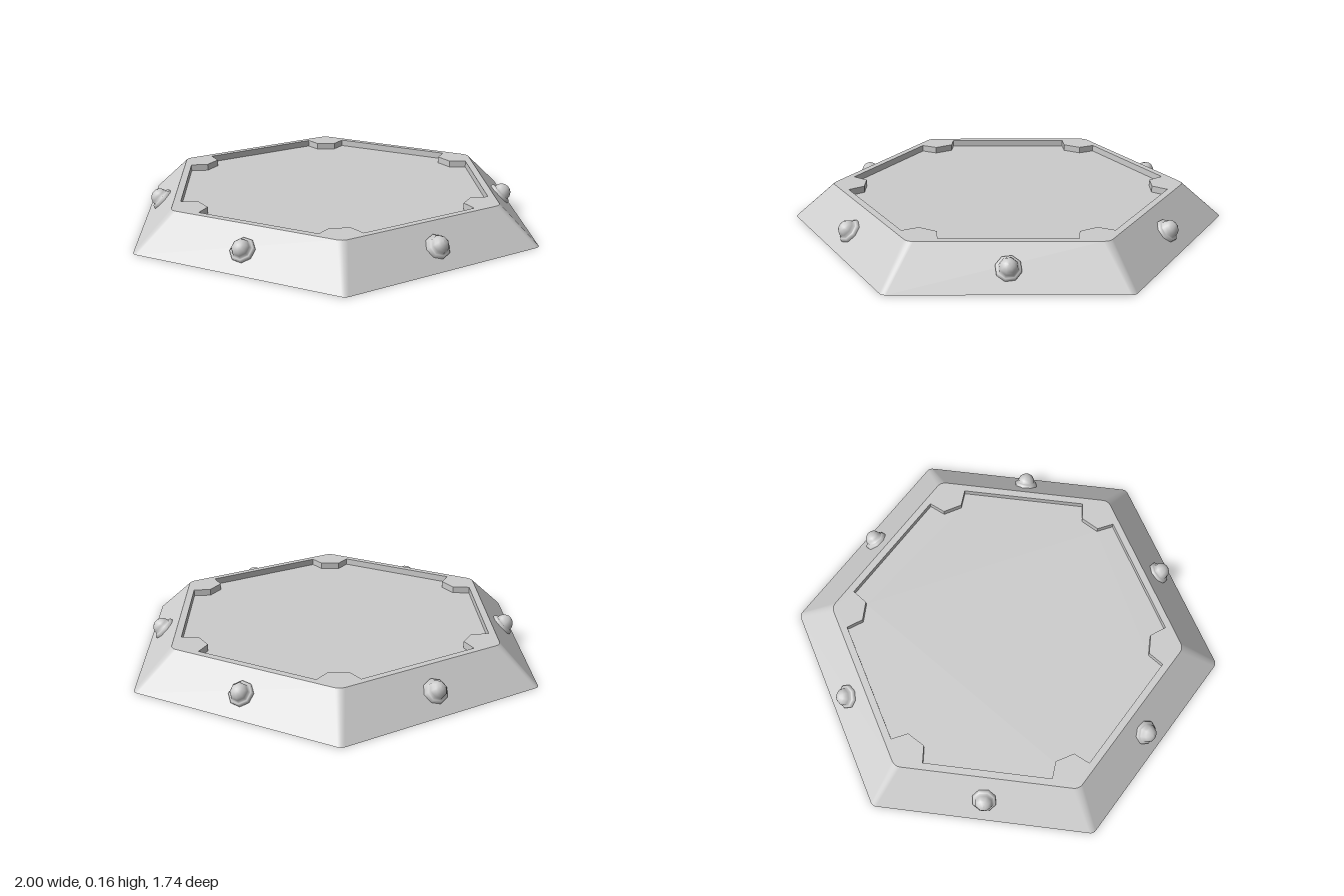
import * as THREE from 'three';

const HEIGHT = 0.163, DEPTH = 0.03;      // height of the tile, depth of the recess
const BASE_IN = 0.87, TOP_IN = 0.711;    // distance from the centre to the flat sides

const material = new THREE.MeshStandardMaterial({ color: 0xcccccc, side: THREE.DoubleSide });
const flatMaterial = new THREE.MeshStandardMaterial({
  color: 0xcccccc, side: THREE.DoubleSide, flatShading: true });

// Hexagon with rounded corners, counter-clockwise, pointing along x
function roundedHex(inradius, r, steps = 4) {
  const points = [];
  const centre = (inradius - r) * 2 / Math.sqrt(3);
  for (let k = 0; k < 6; k++) {
    const a = k * Math.PI / 3;
    for (let i = 0; i <= steps; i++) {
      const b = a + (i / steps - 0.5) * Math.PI / 3;
      points.push(new THREE.Vector2(
        centre * Math.cos(a) + r * Math.cos(b), centre * Math.sin(a) + r * Math.sin(b)));
    }
  }
  return points;
}

// Recess outline: a hexagon with a notched tab at each corner
function notchedHex() {
  const corner = [[0.733, -0.09], [0.668, -0.045], [0.668, 0.045], [0.733, 0.09]];
  const points = [];
  for (let k = 0; k < 6; k++) {
    for (const [x, y] of corner) {
      points.push(new THREE.Vector2(x, y).rotateAround(new THREE.Vector2(), k * Math.PI / 3));
    }
  }
  return points;
}

// Closed band between a lower and an upper outline
function band(lower, y0, upper, y1, inward = false) {
  const n = lower.length, positions = [], index = [];
  for (let i = 0; i < n; i++) {
    positions.push(lower[i].x, y0, -lower[i].y, upper[i].x, y1, -upper[i].y);
    const a = 2 * i, b = 2 * ((i + 1) % n);
    if (inward) index.push(a, b + 1, b, a, a + 1, b + 1);
    else index.push(a, b, b + 1, a, b + 1, a + 1);
  }
  const geometry = new THREE.BufferGeometry();
  geometry.setAttribute('position', new THREE.Float32BufferAttribute(positions, 3));
  geometry.setIndex(index);
  geometry.computeVertexNormals();
  return geometry;
}

// Horizontal face at height y, optionally with a hole
function plate(outline, y, hole) {
  const shape = new THREE.Shape(outline);
  if (hole) shape.holes.push(new THREE.Path(hole));
  return new THREE.ShapeGeometry(shape).rotateX(-Math.PI / 2).translate(0, y, 0);
}

// Domed bolt head with a thin octagonal flange, axis along y
function boltGeometry() {
  const profile = [[0.056, -0.003], [0.056, 0.009], [0.049, 0.016], [0.042, 0.016]];
  for (let i = 1; i <= 5; i++) {
    const a = i / 5 * Math.PI / 2;
    profile.push([0.042 * Math.cos(a), 0.016 + 0.042 * Math.sin(a)]);
  }
  return new THREE.LatheGeometry(
    profile.map(([x, y]) => new THREE.Vector2(Math.max(x, 0), y)), 8);
}

export function createModel() {
  const group = new THREE.Group();
  const add = (name, geometry, mat = material) => {
    const mesh = new THREE.Mesh(geometry, mat);
    mesh.name = name;
    group.add(mesh);
    return mesh;
  };

  // Hollow shell, open underneath
  const base = roundedHex(BASE_IN, 0.03);
  const top = roundedHex(TOP_IN, 0.045);
  const recess = notchedHex();
  add('slopedWalls', band(base, 0, top, HEIGHT));
  add('topRim', plate(top, HEIGHT, recess));
  add('recessWalls', band(recess, HEIGHT - DEPTH, recess, HEIGHT, true), flatMaterial);
  add('recessFloor', plate(recess, HEIGHT - DEPTH));

  // One bolt in the middle of each sloped side
  const bolt = boltGeometry();
  const run = BASE_IN - TOP_IN;
  const radius = 0.793;
  const y = HEIGHT * (BASE_IN - radius) / run;
  const up = new THREE.Vector3(0, 1, 0);
  for (let k = 0; k < 6; k++) {
    const a = k * Math.PI / 3;
    const mesh = add('bolt' + (k + 1), bolt);
    mesh.position.set(radius * Math.sin(a), y, radius * Math.cos(a));
    const normal = new THREE.Vector3(
      HEIGHT * Math.sin(a), run, HEIGHT * Math.cos(a)).normalize();
    mesh.quaternion.setFromUnitVectors(up, normal);
  }
  return group;
}
